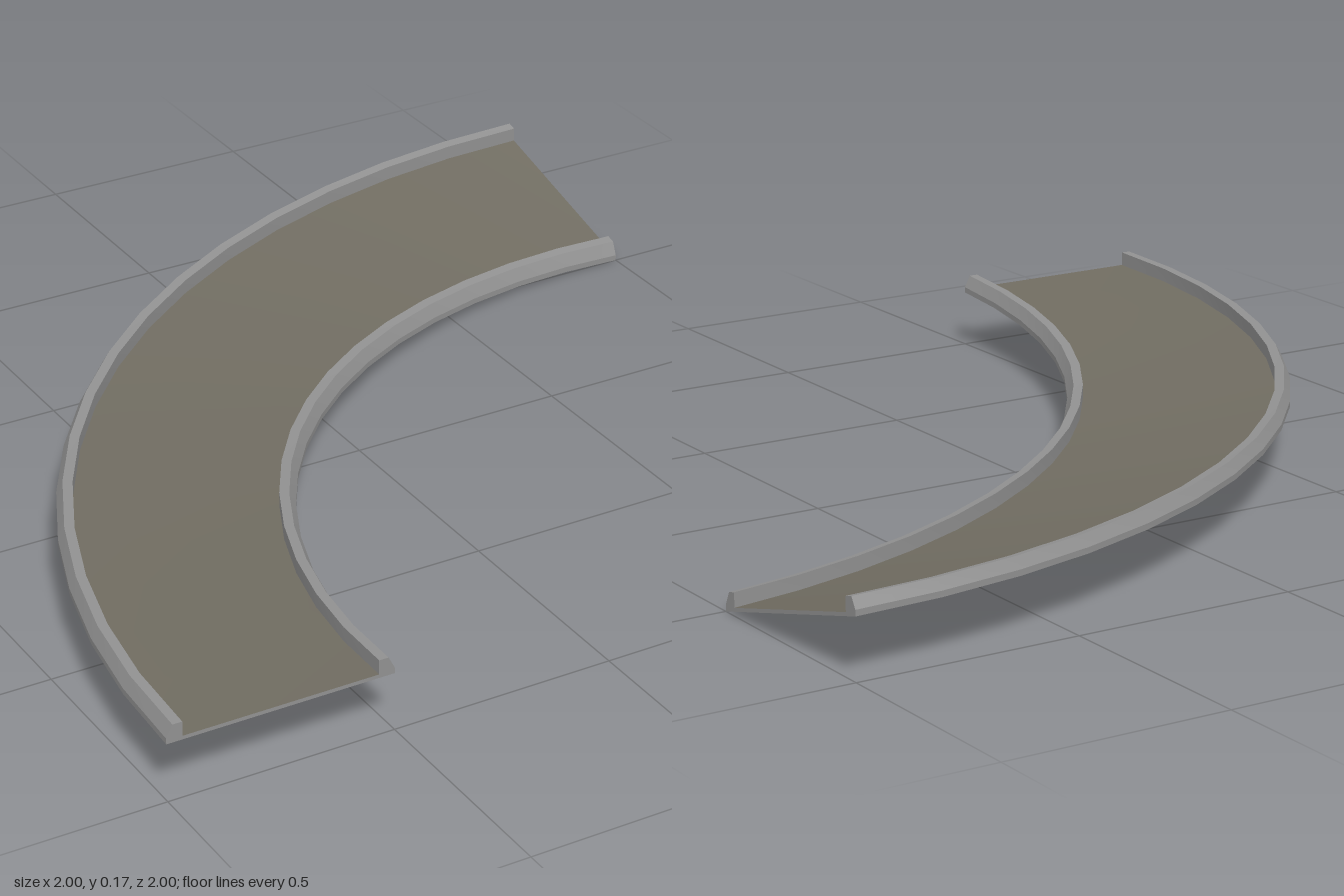
import * as THREE from 'three';
import { toCreasedNormals } from 'three/addons/utils/BufferGeometryUtils.js';

const SEGMENTS = 16;
const OUTER = 2, WIDTH = 0.5, DROP = 0.13;

// Place a section point (radius, height) at fraction t along the quarter turn;
// the inner side sinks steadily so the track banks into the curve.
function place(r, h, t) {
  const a = t * Math.PI / 2;
  const y = h + DROP * (1 - t * (OUTER - r) / WIDTH);
  return [1 - r * Math.cos(a), y, 1 - r * Math.sin(a)];
}

// Sweep an open section around the turn, optionally closing both ends.
function sweep(section, caps) {
  const pos = [];
  const add = (p, t) => pos.push(...place(p[0], p[1], t));
  for (let s = 0; s < SEGMENTS; s++) {
    const t0 = s / SEGMENTS, t1 = (s + 1) / SEGMENTS;
    for (let i = 0; i < section.length - 1; i++) {
      const p = section[i], q = section[i + 1];
      add(p, t0); add(q, t0); add(q, t1);
      add(p, t0); add(q, t1); add(p, t1);
    }
  }
  if (caps) {
    const outline = section.map(([x, y]) => new THREE.Vector2(x, y));
    for (const [a, b, c] of THREE.ShapeUtils.triangulateShape(outline, [])) {
      add(section[a], 0); add(section[c], 0); add(section[b], 0);
      add(section[a], 1); add(section[b], 1); add(section[c], 1);
    }
  }
  const geo = new THREE.BufferGeometry();
  geo.setAttribute('position', new THREE.Float32BufferAttribute(pos, 3));
  return toCreasedNormals(geo, 0.4);
}

export function createModel() {
  const concrete = new THREE.MeshStandardMaterial({ color: 0x919191 });
  concrete.name = 'grey concrete';
  const asphalt = new THREE.MeshStandardMaterial({ color: 0x706c61 });
  asphalt.name = 'brown grey road';

  const group = new THREE.Group();
  group.name = 'bankedCurve';

  // Underside, end faces and both chamfered kerbs
  const kerb = [[2, 0], [2, 0.013], [1.986, 0.04], [1.965, 0.04], [1.965, 0.008]];
  const innerKerb = kerb.map(([r, h]) => [3.5 - r, h]).reverse();
  const frame = new THREE.Mesh(sweep([...innerKerb, ...kerb], true), concrete);
  frame.name = 'kerbsAndUnderside';

  // Road surface between the kerbs
  const road = new THREE.Mesh(sweep([[1.965, 0.008], [1.535, 0.008]], false), asphalt);
  road.name = 'roadSurface';

  group.add(frame, road);
  return group;
}
